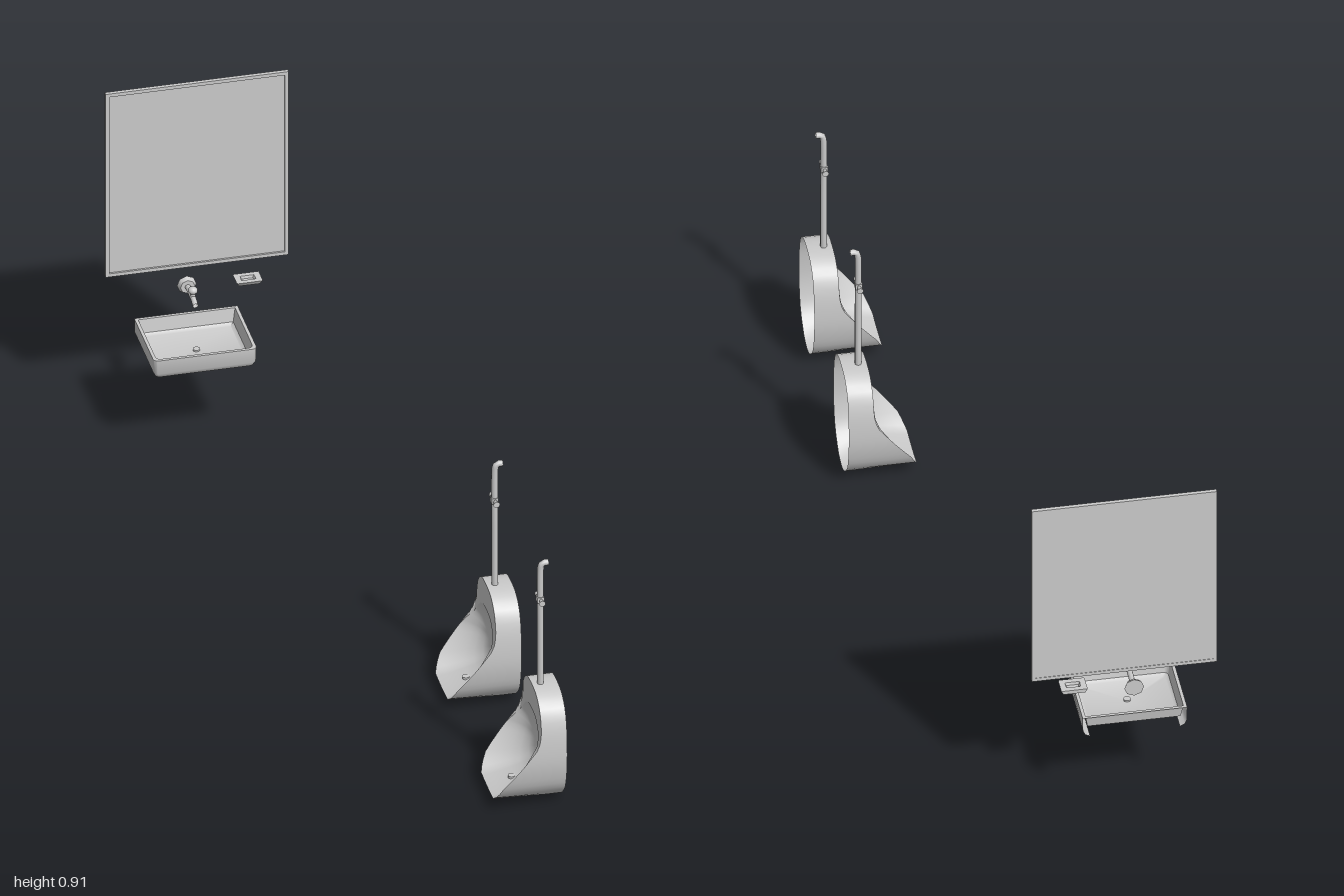
import * as THREE from 'three';
import { toCreasedNormals } from 'three/addons/utils/BufferGeometryUtils.js';

const material = new THREE.MeshStandardMaterial({ color: 0xcccccc, side: THREE.DoubleSide });
const V = (x, y, z) => new THREE.Vector3(x, y, z);

function add(parent, name, geometry, x = 0, y = 0, z = 0) {
  const mesh = new THREE.Mesh(geometry, material);
  mesh.name = name;
  mesh.position.set(x, y, z);
  parent.add(mesh);
  return mesh;
}

// Skin through rings that all have the same number of points
function loft(rings, closed = true, crease = 0.7) {
  const n = rings[0].length, index = [];
  for (let r = 0; r < rings.length - 1; r++) {
    for (let i = 0; i < (closed ? n : n - 1); i++) {
      const a = r * n + i, b = r * n + (i + 1) % n;
      index.push(a, b, a + n, b, b + n, a + n);
    }
  }
  const geometry = new THREE.BufferGeometry().setFromPoints(rings.flat());
  geometry.setIndex(index);
  return toCreasedNormals(geometry, crease);
}

// Piecewise linear lookup
function lookup(table, t) {
  for (let i = 1; i < table.length; i++) {
    const [a, u] = table[i - 1], [b, v] = table[i];
    if (t <= b) return u + (v - u) * Math.max(0, (t - a) / (b - a));
  }
  return table[table.length - 1][1];
}

// Front edge of the urinal: depth x at height y
const frontEdge = [[0.035, 0.155], [0.075, 0.173], [0.137, 0.222], [0.182, 0.257], [0.205, 0.263], [0.23, 0.265]];

function createUrinal() {
  const urinal = new THREE.Group();
  urinal.name = 'urinal';

  // Egg-shaped outline, half of it splined and then mirrored
  const half = new THREE.CatmullRomCurve3([
    [0.304, 0], [0.299, 0.045], [0.275, 0.08], [0.235, 0.097], [0.15, 0.104],
    [0.1, 0.098], [0.06, 0.085], [0.03, 0.06], [0.009, 0.03], [0.003, 0],
  ].map(([y, z]) => V(0, y, z))).getSpacedPoints(24);
  const egg = [...half, ...half.slice(1, -1).reverse().map(p => V(0, p.y, -p.z))];

  const back = egg.map(p => V(0.327, p.y, p.z));
  const middle = egg.map(p => V(0.29, p.y, p.z));
  const rim = egg.map(p => V(lookup(frontEdge, p.y), p.y < 0.035 ? 0.032 + p.y * 0.09 : p.y, p.z));
  // Opening: follows the rim below, narrows to an arch under the hood
  const opening = rim.map(p => {
    const t = Math.max(0, (p.y - 0.14) / 0.164);
    const y = t > 0 ? 0.14 + t * 0.095 : p.y;
    return V(lookup(frontEdge, y), y, p.z * (1 - 0.3 * t));
  });
  add(urinal, 'urinalShell', loft([back, middle, rim, opening]));

  // Concave bowl
  const bowl = [1, 0.94, 0.87, 0.78, 0.66, 0.5, 0.3, 0.001].map(s =>
    opening.map(p => V(p.x + (0.282 - p.x) * (1 - s ** 3), 0.13 + (p.y - 0.13) * s, p.z * s)));
  add(urinal, 'urinalBowl', loft(bowl, true, 1.2));
  add(urinal, 'urinalDrain', new THREE.CylinderGeometry(0.009, 0.009, 0.006, 12), 0.215, 0.053, 0);

  // Supply pipe with an elbow into the wall
  const path = new THREE.CatmullRomCurve3([
    V(0.286, 0.3, 0), V(0.286, 0.45, 0), V(0.286, 0.622, 0), V(0.288, 0.635, 0), V(0.294, 0.64, 0), V(0.305, 0.64, 0),
  ]);
  add(urinal, 'supplyPipe', new THREE.TubeGeometry(path, 40, 0.008, 10));

  // Valve with a flared knob on each side
  add(urinal, 'valveBody', new THREE.BoxGeometry(0.017, 0.015, 0.018), 0.285, 0.54, 0);
  for (const side of [-1, 1]) {
    const knob = add(urinal, 'valveKnob', new THREE.CylinderGeometry(0.008, 0.004, 0.016, 10), 0.285, 0.54, side * 0.017);
    knob.rotation.x = side * Math.PI / 2;
  }
  return urinal;
}

// Rectangular tray ring, from back left corner round the front to the back right corner
function trayRing(cx, halfWidth, zBack, zFront, y, radius) {
  const ring = [V(cx - halfWidth, y, zBack)];
  for (const side of [-1, 1]) {
    for (let i = 0; i <= 5; i++) {
      const a = (side < 0 ? i : 5 - i) / 5 * Math.PI / 2;
      ring.push(V(cx + side * (halfWidth - radius + radius * Math.cos(a)), y, zFront - radius + radius * Math.sin(a)));
    }
  }
  ring.push(V(cx + halfWidth, y, zBack));
  return ring;
}

function createBasin() {
  const basin = new THREE.Group();
  basin.name = 'basin';
  const ring = (inset, y, backInset = 0) =>
    trayRing(-0.13, 0.127 - inset, -0.998 + backInset, -0.795 - inset, y, 0.012);
  // Outer wall, open against the wall behind
  add(basin, 'basinShell', loft([ring(0.018, 0.22), ring(0.006, 0.226), ring(0.001, 0.237), ring(0, 0.275)], false));
  // Rim, sloping inner walls and floor
  const floor = ring(0.022, 0.234, 0.022);
  const centre = floor.map(() => V(-0.13, 0.233, -0.895));
  add(basin, 'basinInside', loft([ring(0, 0.275), ring(0.008, 0.275, 0.008), ring(0.014, 0.24, 0.014), floor, centre]));
  add(basin, 'basinDrain', new THREE.CylinderGeometry(0.009, 0.009, 0.006, 12), -0.13, 0.234, -0.89);
  return basin;
}

function createFaucet() {
  const faucet = new THREE.Group();
  faucet.name = 'faucet';
  faucet.position.set(-0.128, 0.352, 0);
  const plate = add(faucet, 'faucetPlate', new THREE.CylinderGeometry(0.018, 0.024, 0.012, 8), 0, 0, -0.992);
  plate.rotation.x = Math.PI / 2;
  const spout = new THREE.CatmullRomCurve3([V(0, 0, -0.99), V(0, 0.001, -0.95), V(0, 0, -0.925), V(0, -0.006, -0.907)]);
  add(faucet, 'spout', new THREE.TubeGeometry(spout, 16, 0.007, 10));
  add(faucet, 'handleStem', new THREE.CylinderGeometry(0.005, 0.007, 0.02, 10), 0, 0.01, -0.935);
  const handle = add(faucet, 'handle', new THREE.SphereGeometry(0.012, 12, 8), 0, 0.021, -0.935);
  handle.scale.y = 0.8;
  return faucet;
}

function createSoapDish() {
  const dish = new THREE.Group();
  dish.name = 'soapDish';
  const ring = (inset, y) => trayRing(0.017, 0.032 - inset, -0.998, -0.953 - inset, y, 0.004);
  // Oval hollow sampled to match the ring's point count
  const oval = (s, y) => ring(0, y).map(p => {
    const a = Math.atan2((p.z + 0.976) / 0.022, (p.x - 0.017) / 0.032);
    return V(0.017 + 0.024 * s * Math.cos(a), y, -0.976 + 0.013 * s * Math.sin(a));
  });
  add(dish, 'soapDishBody', loft([ring(0.005, 0.354), ring(0, 0.364), oval(1, 0.364), oval(0.8, 0.357), oval(0.001, 0.356)]));
  return dish;
}

function createMirror() {
  const mirror = new THREE.Group();
  mirror.name = 'mirror';
  mirror.position.set(-0.104, 0.6615, -0.995);
  const w = 0.45, h = 0.513, b = 0.009;
  add(mirror, 'mirrorPane', new THREE.BoxGeometry(w - b, h - b, 0.004), 0, 0, -0.002);
  for (const side of [-1, 1]) {
    add(mirror, 'frameSide', new THREE.BoxGeometry(b, h, 0.01), side * (w - b) / 2, 0, 0);
    add(mirror, 'frameRail', new THREE.BoxGeometry(w - 2 * b, b, 0.01), 0, side * (h - b) / 2, 0);
  }
  return mirror;
}

export function createModel() {
  const model = new THREE.Group();
  model.name = 'washroomFixtures';
  for (const z of [0.43, 0.896]) {
    const urinal = createUrinal();
    urinal.position.z = z;
    model.add(urinal);
  }
  model.add(createBasin(), createFaucet(), createSoapDish(), createMirror());
  return model;
}
